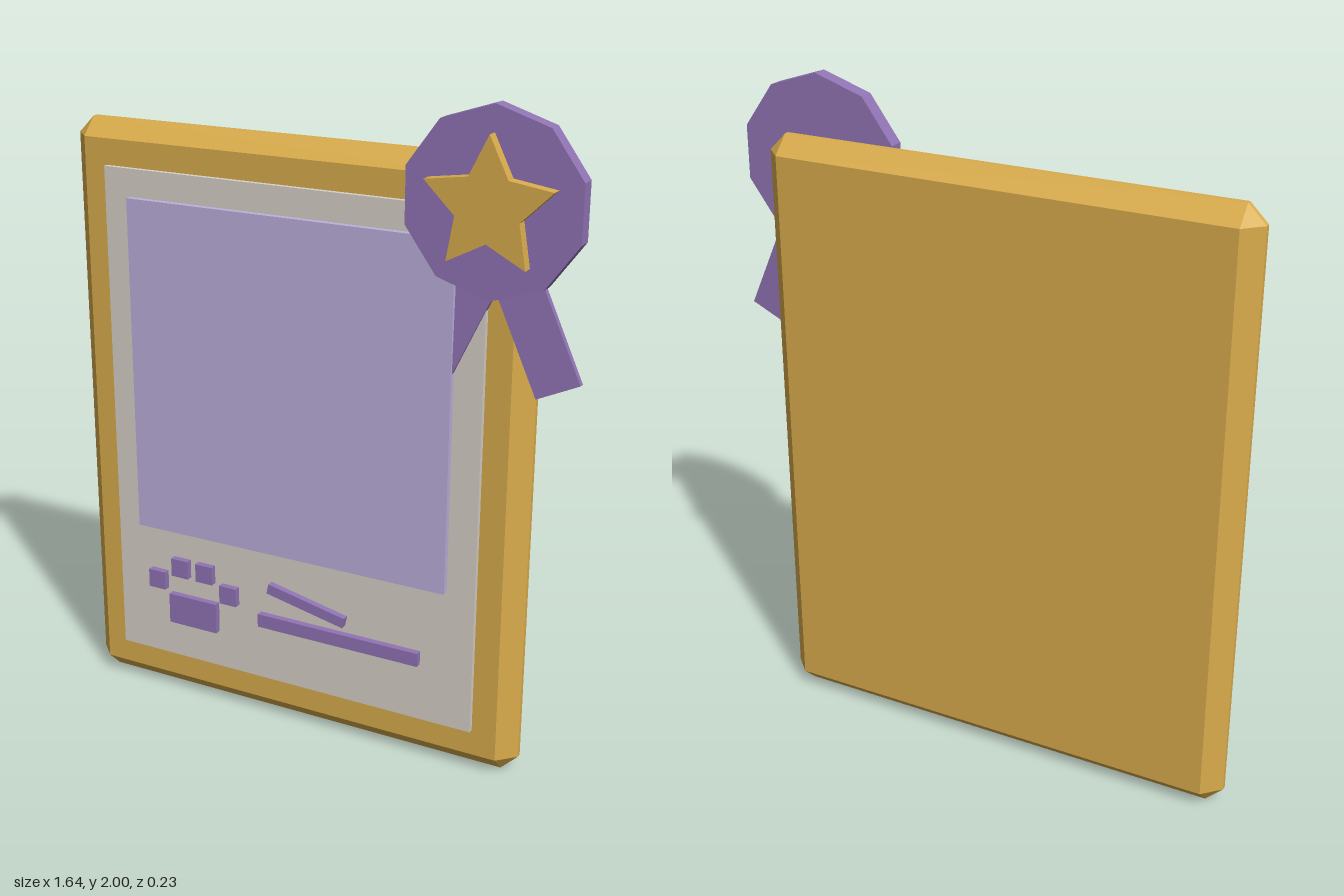
import * as THREE from 'three';
import { ConvexGeometry } from 'three/addons/geometries/ConvexGeometry.js';

function makeMaterial(name, color) {
  const m = new THREE.MeshStandardMaterial({ color });
  m.name = name;
  return m;
}

// Box with every edge and corner cut off at 45 degrees
function chamferedBox(w, h, d, bevel) {
  const half = [w / 2, h / 2, d / 2];
  const points = [];
  for (const sx of [-1, 1]) for (const sy of [-1, 1]) for (const sz of [-1, 1]) {
    for (let axis = 0; axis < 3; axis++) {
      const p = half.map((v, i) => (i === axis ? v : v - bevel));
      points.push(new THREE.Vector3(p[0] * sx, p[1] * sy, p[2] * sz));
    }
  }
  return new ConvexGeometry(points);
}

// Regular polygon or star outline with a corner at the top
function radialShape(count, radiusAt) {
  const pts = [];
  for (let i = 0; i < count; i++) {
    const a = Math.PI / 2 + (i / count) * Math.PI * 2;
    pts.push(new THREE.Vector2(Math.cos(a) * radiusAt(i), Math.sin(a) * radiusAt(i)));
  }
  return new THREE.Shape(pts);
}

export function createModel() {
  const group = new THREE.Group();
  const gold = makeMaterial('gold', 0xd9ac4c);
  const paper = makeMaterial('paper', 0xd8d0c8);
  const lilac = makeMaterial('lilac', 0xbcb0dc);
  const purple = makeMaterial('purple', 0x9174b5);

  function add(name, geometry, material, x, y, z) {
    const mesh = new THREE.Mesh(geometry, material);
    mesh.name = name;
    mesh.position.set(x, y, z);
    group.add(mesh);
    return mesh;
  }
  // Flat plate given by its edges
  function plate(name, material, x0, x1, y0, y1, z0, z1) {
    return add(name, new THREE.BoxGeometry(x1 - x0, y1 - y0, z1 - z0), material,
      (x0 + x1) / 2, (y0 + y1) / 2, (z0 + z1) / 2);
  }

  // Frame, certificate sheet and picture panel
  add('frame', chamferedBox(1.485, 1.842, 0.121, 0.053), gold, -0.08, 0.921, -0.054);
  plate('sheet', paper, -0.692, 0.533, 0.136, 1.71, 0, 0.022);
  plate('picturePanel', lilac, -0.605, 0.445, 0.577, 1.626, 0.015, 0.041);

  // Paw print
  plate('pawPad', purple, -0.5, -0.328, 0.26, 0.36, 0.015, 0.043);
  for (const [x, y] of [[-0.544, 0.4], [-0.459, 0.455], [-0.37, 0.455], [-0.284, 0.4]]) {
    plate('pawToe', purple, x - 0.03, x + 0.03, y - 0.03, y + 0.03, 0.015, 0.043);
  }

  // Signature stroke and line
  plate('signatureLine', purple, -0.176, 0.366, 0.322, 0.365, 0.015, 0.043);
  const stroke = plate('signatureStroke', purple, -0.143, 0.123, 0.416, 0.449, 0.015, 0.043);
  stroke.rotation.z = -0.21;

  // Ribbon tails, mirrored about the rosette
  const cx = 0.56, cy = 1.74;
  for (const side of [-1, 1]) {
    const tail = add(side > 0 ? 'leftRibbonTail' : 'rightRibbonTail',
      new THREE.BoxGeometry(0.135, 0.4, 0.019), purple, cx + side * 0.107, 1.424, 0.02);
    tail.rotation.set(-0.03, 0, side * 0.436);
  }

  // Rosette and star
  const solid = (shape, depth) => new THREE.ExtrudeGeometry(shape, { depth, bevelEnabled: false });
  add('rosette', solid(radialShape(10, () => 0.26), 0.047), purple, cx, cy, 0.03);
  add('star', solid(radialShape(10, (i) => (i % 2 ? 0.095 : 0.19)), 0.035), gold, cx, 1.737, 0.076);

  return group;
}
